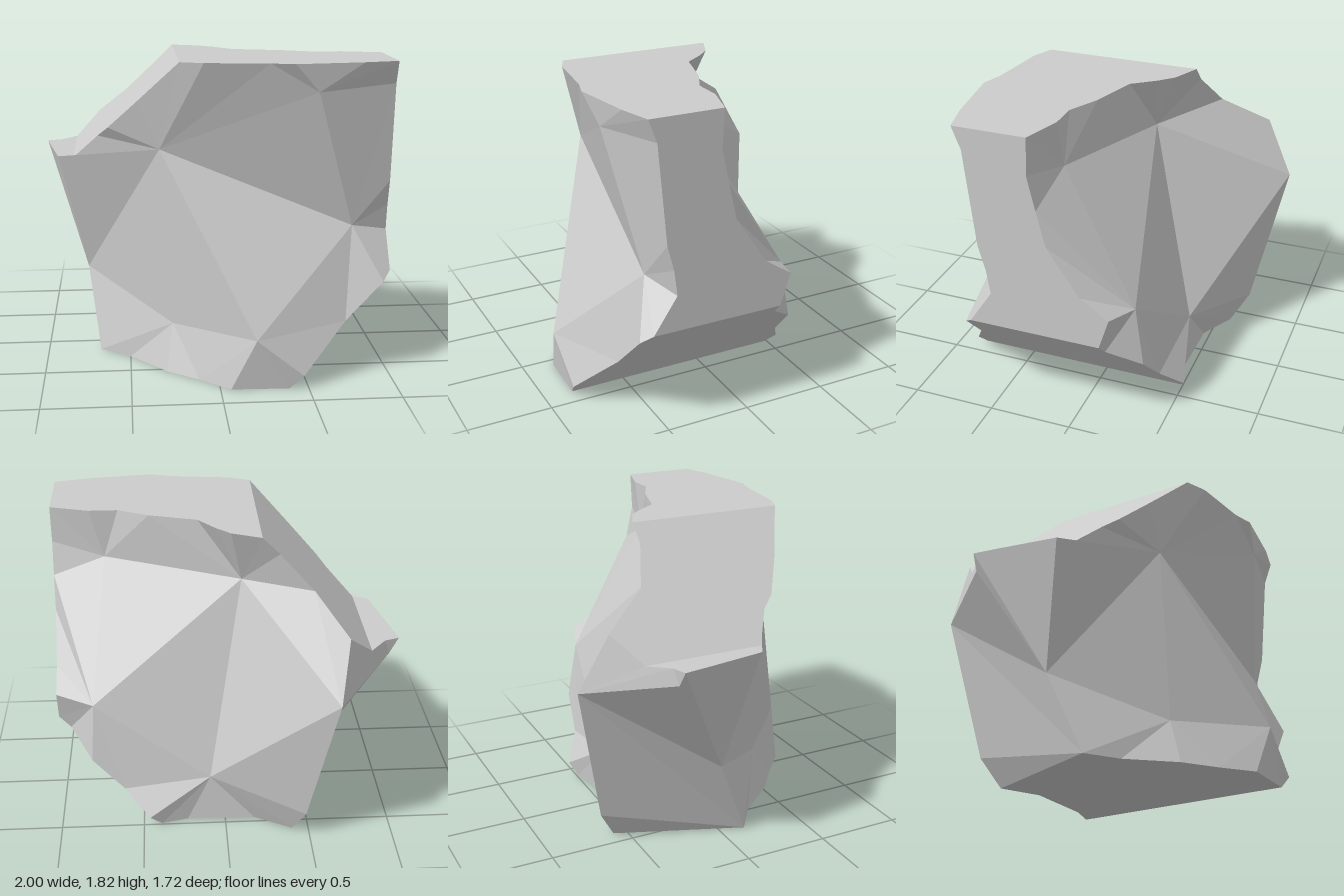
import * as THREE from 'three';

// Flat cuts around the outline, clockwise from the upper left.
// at(s) places a rim point in x, y; front and back rims are lists of [s, z].
const CUTS = [
  { name: 'upperBevel', at: (s) => [s, s + 2.03],
    front: [[-0.82, 0.145], [-0.67, 0.25], [-0.61, 0.33], [-0.45, 0.44], [-0.21, 0.58]],
    back: [[-0.82, -0.555], [-0.67, -0.695], [-0.5, -0.43], [-0.31, -0.345], [-0.21, -0.345]] },
  { name: 'topCut', at: (s) => [s, 1.82],
    front: [[-0.21, 0.58], [-0.08, 0.635], [0.28, 0.68], [0.41, 0.72], [0.8, 0.665], [1, 0.615]],
    back: [[-0.21, -0.345], [-0.04, -0.27], [0.04, -0.19], [0.14, -0.06], [0.42, 0.025],
      [0.6, 0.115], [0.77, 0.115], [1, 0.185]] },
  { name: 'sideCut', at: (s) => [1, s],
    front: [[1.82, 0.615], [1.69, 0.565], [1.12, 0.51], [0.97, 0.47], [0.82, 0.45], [0.61, 0.59]],
    back: [[1.82, 0.185], [1.6, 0.195], [1.4, 0.15], [1.19, 0.1], [0.91, -0.09],
      [0.8, -0.255], [0.61, -0.195]] },
  { name: 'lowerBevel', at: (s) => [s + 0.39, s],
    front: [[0.61, 0.59], [0.56, 0.65], [0.34, 0.68], [0.08, 0.85], [0, 0.83]],
    back: [[0.61, -0.195], [0.54, -0.205], [0.41, -0.385], [0.22, -0.42], [0.07, -0.525], [0, -0.49]] },
  { name: 'bottomCut', at: (s) => [s, 0],
    front: [[0.39, 0.83], [0.06, 0.82], [-0.11, 0.67], [-0.29, 0.53], [-0.5, 0.28], [-0.68, 0.15]],
    back: [[0.39, -0.49], [0.23, -0.45], [-0.18, -0.46], [-0.4, -0.58]] },
];

const material = new THREE.MeshStandardMaterial({ color: 0xcccccc, flatShading: true });

function facetMesh(name, triangles) {
  const geometry = new THREE.BufferGeometry();
  geometry.setAttribute('position', new THREE.Float32BufferAttribute(triangles.flat(2), 3));
  geometry.computeVertexNormals();
  const mesh = new THREE.Mesh(geometry, material);
  mesh.name = name;
  return mesh;
}

// Triangles from a peak to each step of the ring around it.
function fan(peak, ring, clockwise = false) {
  return ring.slice(1).map((p, i) => (clockwise ? [peak, p, ring[i]] : [peak, ring[i], p]));
}

// Fill a planar loop, given its counter-clockwise 2D layout.
function fill(loop, flat) {
  const contour = flat.map(([u, v]) => new THREE.Vector2(u, v));
  return THREE.ShapeUtils.triangulateShape(contour, []).map((t) => t.map((i) => loop[i]));
}

export function createModel() {
  const rock = new THREE.Group();
  rock.name = 'rock';
  const f = []; // whole front rim
  const b = []; // whole back rim

  // Flat cut faces
  CUTS.forEach(({ name, at, front, back }, n) => {
    const place = ([s, z]) => [...at(s), z];
    const outline = [...front, ...[...back].reverse()];
    const direction = Math.sign(front[1][0] - front[0][0]);
    rock.add(facetMesh(name, fill(outline.map(place), outline.map(([s, z]) => [s * direction, -z]))));
    f.push(...front.slice(n ? 1 : 0).map(place));
    b.push(...back.slice(n ? 1 : 0).map(place));
  });

  // Corners of the left side and its small ledge
  const waist = [-0.75, 0.48, -0.05];
  const notch = [-0.95, 1.12, -0.42];
  const ledgeFront = [-0.91, 1.21, 0.1];
  const ledgeMid = [-0.97, 1.21, -0.23];
  const ledgeTip = [-1, 1.21, -0.41];
  const ledgeBack = [-0.915, 1.21, -0.44];
  const ledge = [ledgeFront, f[0], b[0], ledgeBack, ledgeTip, ledgeMid];
  rock.add(facetMesh('leftLedge', fill(ledge, ledge.map(([x, , z]) => [x, -z]))));

  // Front peaks
  const shoulder = [-0.32, 1.31, 0.44];
  const brow = [0.55, 1.66, 0.68];
  const hollow = [0.78, 0.87, 0.54];
  const nose = [0.2, 0.3, 0.86];
  const foot = [-0.25, 0.27, 0.45];
  rock.add(facetMesh('frontFace', [
    ...fan(shoulder, [nose, foot, waist, ledgeFront, ...f.slice(0, 7), brow, hollow, nose], true),
    ...fan(brow, [...f.slice(6, 11), hollow], true),
    ...fan(hollow, [...f.slice(10, 17), nose], true),
    ...fan(nose, [...f.slice(16, 21), foot], true),
    ...fan(foot, [...f.slice(20, 24), waist], true),
  ]));

  // Back peaks
  const upperDip = [0.69, 1.53, 0.115];
  const middle = [-0.11, 1.48, -0.14];
  const sideBump = [0.78, 0.76, -0.33];
  const lowBump = [0.09, 0.3, -0.44];
  const spur = [-0.615, 1.03, -0.86];
  const heel = [-0.47, 0.18, -0.685];
  rock.add(facetMesh('backFace', [
    ...fan(middle, [spur, ...b.slice(2, 9), upperDip, sideBump, lowBump, spur]),
    ...fan(upperDip, [...b.slice(8, 14), sideBump]),
    ...fan(sideBump, [...b.slice(13, 21), lowBump]),
    ...fan(lowBump, [...b.slice(20, 26), heel, spur]),
  ]));

  // Left side, wrapping from the back spur to the front
  rock.add(facetMesh('leftFace', [
    ...fan(spur, [heel, f[23], waist, notch, ledgeBack, b[0], b[1], b[2]]),
    ...fan(heel, [b[25], f[23]]),
    ...fan(waist, [ledgeFront, ledgeMid, ledgeTip, notch]),
    ...fan(notch, [ledgeTip, ledgeBack]),
  ]));

  return rock;
}
